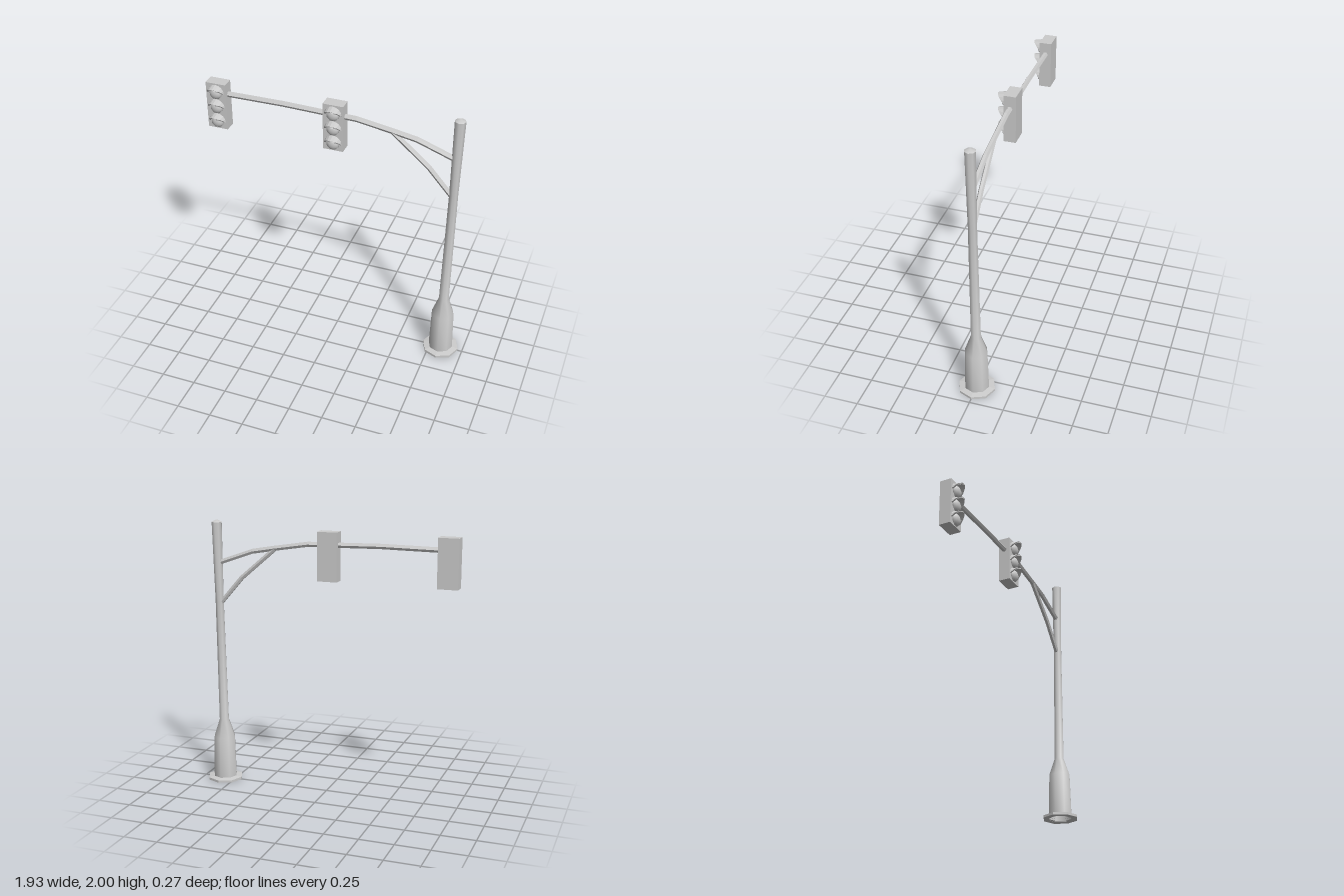
import * as THREE from 'three';
import { toCreasedNormals } from 'three/addons/utils/BufferGeometryUtils.js';

const flat = new THREE.MeshStandardMaterial({ color: 0xcccccc, flatShading: true, side: THREE.DoubleSide });
const smooth = new THREE.MeshStandardMaterial({ color: 0xcccccc, side: THREE.DoubleSide });
const POLE_X = 0.832;

function mesh(name, geometry, material, x = 0, y = 0, z = 0) {
  const m = new THREE.Mesh(geometry, material);
  m.name = name;
  m.position.set(x, y, z);
  return m;
}

const lathe = (profile) =>
  new THREE.LatheGeometry(profile.map(([r, y]) => new THREE.Vector2(r, y)), 8);

// Hexagonal rod following a bent path in the xy plane, mitred at each bend
function rod(path, radius) {
  const pts = path.map(([x, y]) => new THREE.Vector2(x, y));
  const last = pts.length - 1;
  const geo = new THREE.CylinderGeometry(1, 1, 1, 6, last);
  const pos = geo.attributes.position;
  const dir = (i) => pts[i].clone().sub(pts[i + 1]).normalize();
  for (let k = 0; k < pos.count; k++) {
    const i = Math.round((0.5 - pos.getY(k)) * last);
    const a = dir(Math.max(i - 1, 0));
    const d = a.clone().add(dir(Math.min(i, last - 1))).normalize();
    const side = pos.getX(k) * radius / d.dot(a);
    pos.setXYZ(k, pts[i].x + d.y * side, pts[i].y - d.x * side, pos.getZ(k) * radius);
  }
  return geo;
}

// Half-ring hood, longest at its crown and tapering towards the tip
function hoodGeometry() {
  const shape = new THREE.Shape();
  shape.absarc(0, 0, 0.063, 0, Math.PI, false);
  shape.absarc(0, 0, 0.051, Math.PI, 0, true);
  const geo = new THREE.ExtrudeGeometry(shape, { depth: 1, bevelEnabled: false, curveSegments: 4 });
  const pos = geo.attributes.position;
  for (let k = 0; k < pos.count; k++) {
    const x = pos.getX(k), y = pos.getY(k), t = pos.getZ(k);
    const crown = Math.max(0, y / Math.hypot(x, y));
    const taper = 1 - 0.16 * t * crown;
    pos.setXYZ(k, x * taper, y * taper, t * (0.006 + 0.056 * crown));
  }
  return geo;
}

function signalHead() {
  const head = new THREE.Group();
  head.name = 'signalHead';
  head.add(mesh('housing', new THREE.BoxGeometry(0.148, 0.353, 0.088), flat));
  const dome = new THREE.SphereGeometry(0.048, 8, 4, 0, Math.PI * 2, 0, Math.PI / 2);
  dome.rotateY(Math.PI / 8).rotateX(Math.PI / 2).scale(1, 1, 0.65);
  const hood = hoodGeometry();
  for (const y of [0.104, -0.009, -0.122]) {
    head.add(mesh('lamp', dome, smooth, 0, y, 0.044));
    head.add(mesh('hood', hood, flat, 0, y, 0.043));
  }
  return head;
}

export function createModel() {
  const model = new THREE.Group();
  model.name = 'trafficLight';

  // Octagonal foot ring, open in the middle
  const foot = lathe([[0.088, 0], [0.135, 0], [0.135, 0.018], [0.088, 0.025]]);
  model.add(mesh('footPlate', foot, flat, POLE_X));

  // Column with a wide sleeve, slim shaft that leans slightly, and a low cap
  const column = lathe([[0.091, 0.01], [0.083, 0.34], [0.037, 0.475],
    [0.032, 1.4], [0.039, 1.982], [0, 2]]);
  const pos = column.attributes.position;
  for (let k = 0; k < pos.count; k++) {
    const lean = Math.max(0, pos.getY(k) - 0.475) / 1.525;
    pos.setX(k, pos.getX(k) + 0.021 * lean);
  }
  model.add(mesh('column', toCreasedNormals(column, 0.9), smooth, POLE_X));

  // Overhead arm and its curved brace
  model.add(mesh('arm', rod([[-0.85, 1.86], [-0.4, 1.864], [-0.1, 1.857], [0.14, 1.852],
    [0.4, 1.81], [0.57, 1.78], [0.835, 1.685]], 0.02), flat));
  model.add(mesh('brace', rod([[0.385, 1.815], [0.66, 1.58], [0.83, 1.385]], 0.018), flat));

  // Two signal heads on the arm
  for (const x of [-0.892, -0.018]) {
    const head = signalHead();
    head.position.set(x, 1.774, 0);
    model.add(head);
  }
  return model;
}
